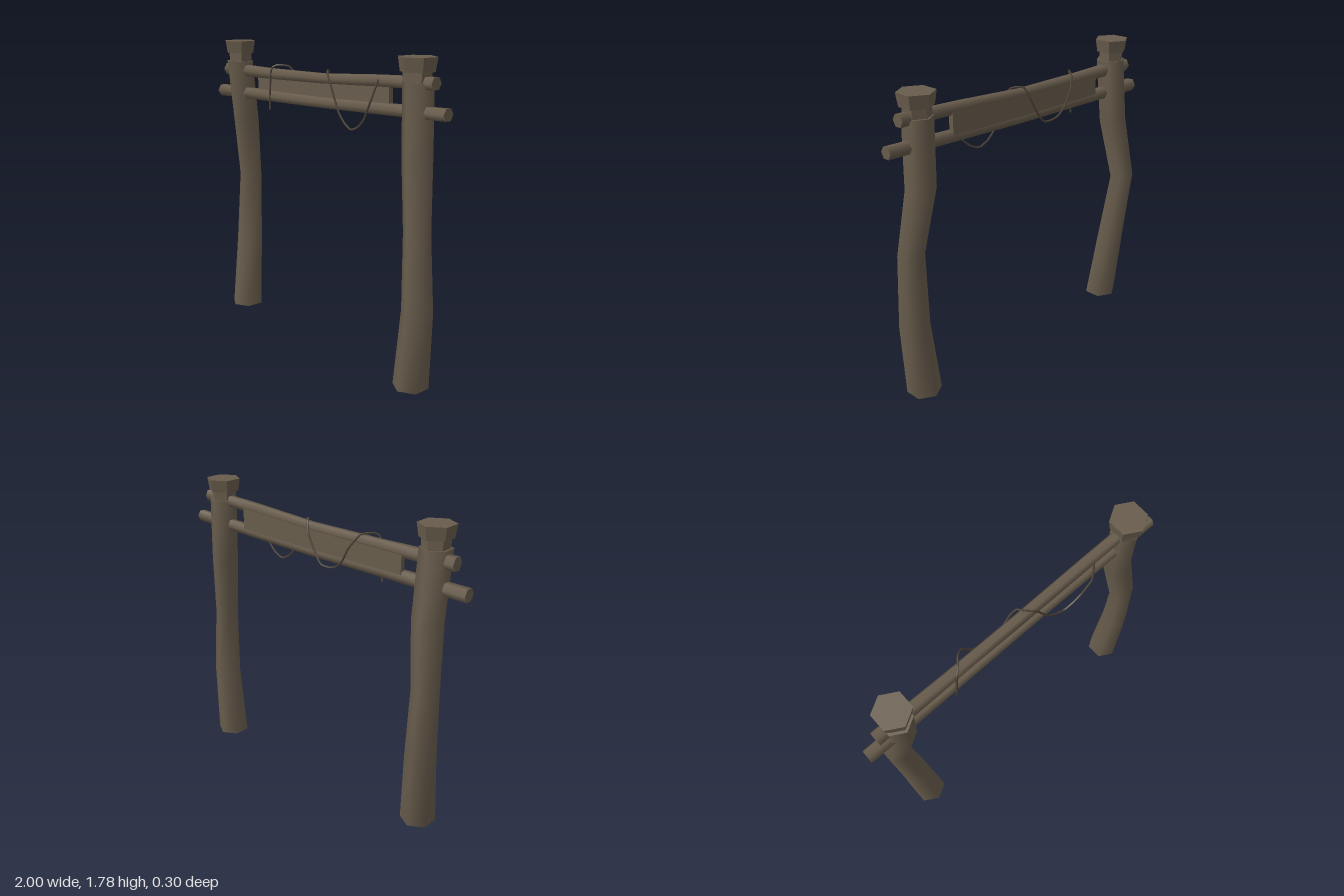
import * as THREE from 'three';
import { toCreasedNormals } from 'three/addons/utils/BufferGeometryUtils.js';

const wood = new THREE.MeshStandardMaterial({ color: 0x685c4c, side: THREE.DoubleSide });
wood.name = 'weathered wood';
const cord = new THREE.MeshStandardMaterial({ color: 0x50463a });
cord.name = 'old rope';

// Six-sided loft through rings [x, y, z, radius]; u and v span each ring's plane
function loft(rings, u, v, turn, capStart, capEnd) {
  const n = 6, pos = [], idx = [];
  const addRing = ([x, y, z, r]) => {
    for (let j = 0; j < n; j++) {
      const a = turn + (j / n) * Math.PI * 2, c = Math.cos(a) * r, s = Math.sin(a) * r;
      pos.push(x + u.x * c + v.x * s, y + u.y * c + v.y * s, z + u.z * c + v.z * s);
    }
  };
  rings.forEach(addRing);
  for (let i = 0; i < rings.length - 1; i++) {
    for (let j = 0; j < n; j++) {
      const a = i * n + j, b = i * n + (j + 1) % n;
      idx.push(a, b, b + n, a, b + n, a + n);
    }
  }
  const cap = (ring, flip) => {
    const o = pos.length / 3;
    addRing(ring);
    for (let j = 1; j < n - 1; j++) idx.push(o, o + (flip ? j + 1 : j), o + (flip ? j : j + 1));
  };
  if (capStart) cap(rings[0], true);
  if (capEnd) cap(rings[rings.length - 1], false);
  const g = new THREE.BufferGeometry();
  g.setAttribute('position', new THREE.Float32BufferAttribute(pos, 3));
  g.setIndex(idx);
  g.computeVertexNormals();
  return g;
}

const X = new THREE.Vector3(1, 0, 0), Y = new THREE.Vector3(0, 1, 0), Z = new THREE.Vector3(0, 0, 1);

export function createModel() {
  const model = new THREE.Group();
  model.name = 'woodenGate';
  const add = (name, geometry, material = wood) => {
    const m = new THREE.Mesh(geometry, material);
    m.name = name;
    model.add(m);
    return m;
  };

  // Crooked posts, open underneath
  const posts = {
    right: [[-0.77, 0, 0.022, 0.103], [-0.797, 0.45, -0.027, 0.09], [-0.832, 0.88, -0.071, 0.078],
      [-0.785, 1.26, -0.013, 0.088], [-0.785, 1.65, 0.027, 0.09]],
    left: [[0.828, 0, 0.05, 0.101], [0.865, 0.45, 0.055, 0.087], [0.853, 0.88, 0.061, 0.075],
      [0.797, 1.26, 0.017, 0.084], [0.79, 1.65, 0.018, 0.084]],
  };
  for (const [side, rings] of Object.entries(posts)) {
    add(side + 'Post', loft(rings, Z, X, 0, false, true));
    // Neck and flared cap on each post
    const x = side === 'left' ? 0.787 : -0.785;
    const neck = loft([[x, 1.64, 0.023, 0.077], [x, 1.71, 0.023, 0.077]], Z, X, 0, false, false);
    add(side + 'PostNeck', toCreasedNormals(neck, 0.6));
    const cap = loft([[x, 1.703, 0.023, 0.092], [x, 1.778, 0.023, 0.104]], Z, X, 0, true, true);
    add(side + 'PostCap', toCreasedNormals(cap, 0.6));
  }

  // Two slightly bent cross rails
  add('upperRail', loft([[-0.92, 1.59, 0.02, 0.042], [-0.45, 1.594, 0.018, 0.036], [0.05, 1.606, 0.015, 0.032],
    [0.5, 1.634, 0.018, 0.035], [0.915, 1.653, 0.02, 0.037]], Y, Z, Math.PI / 6, true, true));
  add('lowerRail', loft([[-1, 1.443, 0.02, 0.041], [-0.45, 1.456, 0.018, 0.037], [0.05, 1.467, 0.015, 0.034],
    [0.5, 1.486, 0.018, 0.035], [1, 1.508, 0.02, 0.036]], Y, Z, Math.PI / 6, true, true));

  // Sign board held between the rails, sheared to follow their slope
  const board = new THREE.BoxGeometry(1.18, 0.14, 0.03);
  const p = board.attributes.position;
  for (let i = 0; i < p.count; i++) p.setY(i, p.getY(i) + p.getX(i) * 0.04);
  board.computeVertexNormals();
  add('signBoard', board).position.set(-0.008, 1.54, 0.004);

  // Rope looped over the rails, sagging behind and then in front
  const path = [
    [-0.435, 1.377, 0.05], [-0.428, 1.5, 0.052], [-0.415, 1.628, 0.05], [-0.388, 1.65, 0.03],
    [-0.34, 1.645, -0.03], [-0.29, 1.57, -0.068], [-0.24, 1.48, -0.065], [-0.19, 1.435, -0.06],
    [-0.14, 1.422, -0.057], [-0.075, 1.426, -0.052], [-0.02, 1.5, -0.046], [0.025, 1.58, -0.042],
    [0.05, 1.645, -0.02], [0.07, 1.652, 0.01], [0.105, 1.642, 0.04], [0.136, 1.607, 0.052],
    [0.18, 1.51, 0.052], [0.22, 1.43, 0.052], [0.27, 1.38, 0.054], [0.33, 1.35, 0.06],
    [0.39, 1.372, 0.066], [0.445, 1.42, 0.072], [0.505, 1.526, 0.08], [0.533, 1.644, 0.05],
  ].map((q) => new THREE.Vector3(...q));
  const curve = new THREE.CatmullRomCurve3(path, false, 'catmullrom', 0.2);
  add('rope', new THREE.TubeGeometry(curve, 70, 0.006, 5), cord);

  return model;
}
